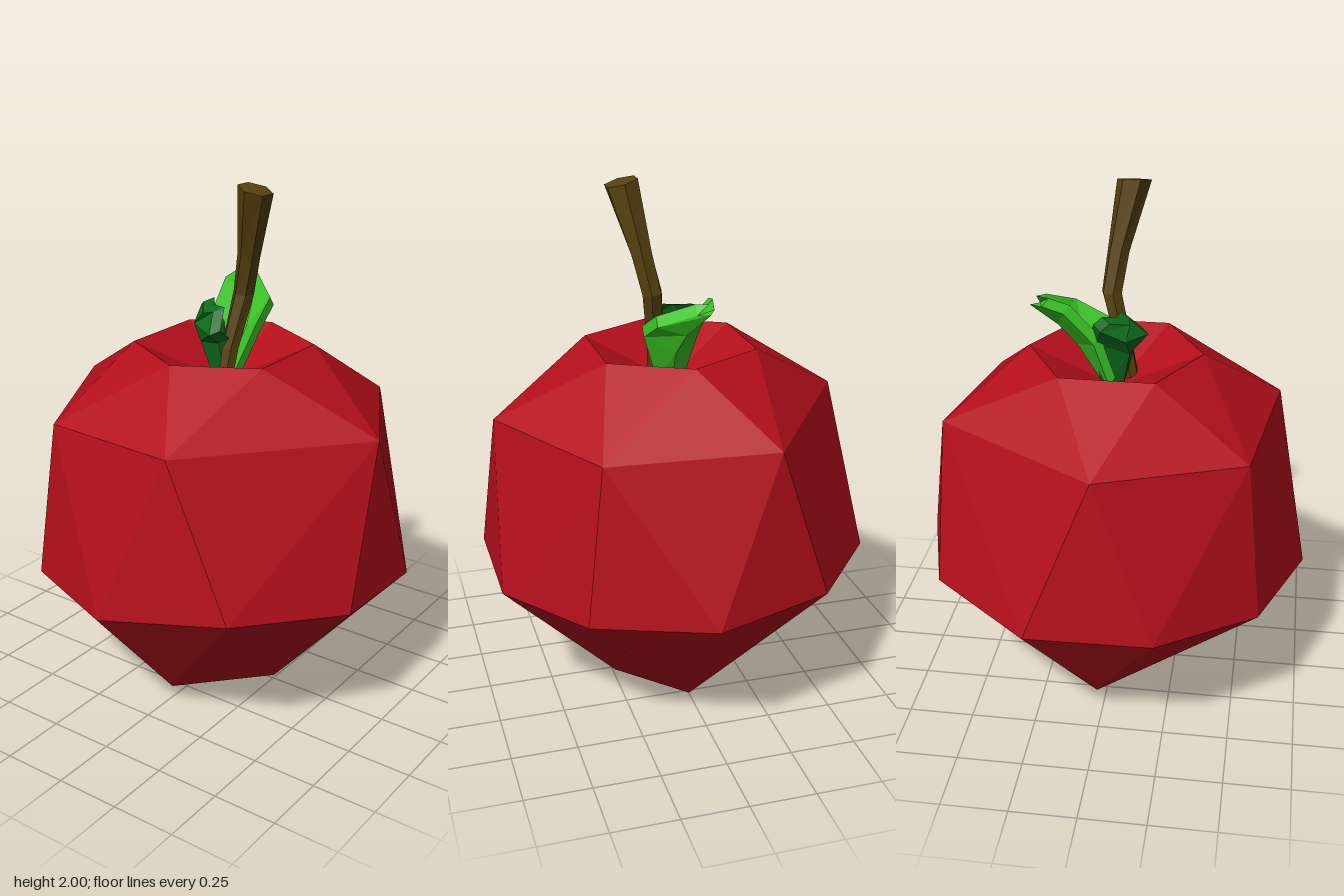
import * as THREE from 'three';
import { ConvexGeometry } from 'three/addons/geometries/ConvexGeometry.js';

const material = (color, side = THREE.FrontSide) => {
  const m = new THREE.MeshStandardMaterial({ color, side });
  m.flatShading = true;
  return m;
};

// Geometry from a flat list of triangle corners
function fromTriangles(corners) {
  const g = new THREE.BufferGeometry();
  g.setAttribute('position', new THREE.Float32BufferAttribute(corners.flat(), 3));
  g.computeVertexNormals();
  return g;
}

// Joins closed rings (counter-clockwise seen from the last one) and caps both ends
function loft(rings) {
  const t = [], n = rings[0].length, last = rings[rings.length - 1];
  for (let i = 0; i < rings.length - 1; i++) {
    for (let j = 0; j < n; j++) {
      const k = (j + 1) % n, a = rings[i], b = rings[i + 1];
      t.push(a[j], a[k], b[k], a[j], b[k], b[j]);
    }
  }
  for (let j = 1; j < n - 1; j++) {
    t.push(last[0], last[j], last[j + 1], rings[0][0], rings[0][j + 1], rings[0][j]);
  }
  return fromTriangles(t);
}

// Faceted body: hull of four rings, with the flat top replaced by a hollow
function fruitBody() {
  const top = 1.38;
  const rim = [[0, top, -0.33], [0.29, top, -0.18], [0.29, top, 0.17],
    [0, top, 0.33], [-0.285, top, 0.18], [-0.285, top, -0.17]];
  const shoulder = [[-0.23, 1.15, -0.62], [0.39, 1.13, -0.53], [0.68, 1.14, 0],
    [0.2, 1.16, 0.62], [-0.39, 1.13, 0.53], [-0.65, 1.16, 0]];
  const belly = [[0.03, 0.55, -0.75], [0.465, 0.55, -0.59], [0.71, 0.53, -0.22],
    [0.715, 0.55, 0.22], [0.45, 0.59, 0.61], [-0.02, 0.53, 0.75], [-0.44, 0.53, 0.59],
    [-0.71, 0.55, 0.23], [-0.72, 0.55, -0.24], [-0.42, 0.57, -0.62]];
  const base = [[0.24, 0, -0.02], [0.02, 0.07, 0.37], [-0.39, 0.09, -0.02], [0.03, 0.07, -0.37]];
  const hull = new ConvexGeometry([...rim, ...shoulder, ...belly, ...base]
    .map((p) => new THREE.Vector3(...p)));
  const p = hull.attributes.position, t = [];
  for (let i = 0; i < p.count; i += 3) {
    const face = [0, 1, 2].map((k) => [p.getX(i + k), p.getY(i + k), p.getZ(i + k)]);
    if (!face.every((v) => v[1] > top - 0.01)) t.push(...face);
  }
  rim.forEach((v, i) => t.push([0, top - 0.15, 0], rim[(i + 1) % 6], v));
  return fromTriangles(t);
}

// Bent six-sided stem, widening toward its tilted end: x, y, z, radius, tilt
function stem() {
  const sections = [
    [0.045, 1.22, 0.06, 0.03, 0],
    [0.05, 1.38, 0.025, 0.035, 0],
    [0.075, 1.58, -0.025, 0.04, 0.1],
    [0.11, 1.73, -0.005, 0.042, 0.2],
    [0.17, 1.983, 0.045, 0.064, 0.25],
  ];
  return loft(sections.map(([x, y, z, r, tilt], s) => Array.from({ length: 6 }, (_, i) => {
    const a = (i / 6) * Math.PI * 2 + s * 0.12;
    return [x + r * Math.cos(a), y - tilt * r * Math.cos(a), z - r * Math.sin(a)];
  })));
}

// Thick cupped leaf: each row is edge, spine, edge; the inner skin is a shifted copy
function leaf(rows, shift) {
  return loft(rows.map((row) => {
    const inner = row.map((p) => p.map((v, i) => v + shift[i]));
    return [...row, ...inner.reverse()];
  }));
}

export function createModel() {
  const model = new THREE.Group();
  model.name = 'fruit';
  const add = (name, geometry, mat) => {
    const mesh = new THREE.Mesh(geometry, mat);
    mesh.name = name;
    model.add(mesh);
  };

  add('fruitBody', fruitBody(), material(0xb30f1b));
  add('stem', stem(), material(0x57420f));

  // Bright leaf curling up toward the back
  add('backLeaf', leaf([
    [[0.06, 1.25, -0.02], [0.01, 1.25, -0.06], [-0.05, 1.25, -0.02]],
    [[0.12, 1.43, -0.07], [0.02, 1.385, -0.15], [-0.09, 1.43, -0.07]],
    [[0.1, 1.5, -0.19], [0, 1.47, -0.22], [-0.1, 1.55, -0.18]],
    [[-0.02, 1.56, -0.28], [-0.06, 1.565, -0.31], [-0.09, 1.57, -0.26]],
  ], [0, 0.035, 0.025]), material(0x3cc926, THREE.DoubleSide));

  // Small dark leaf cupped around the stem
  add('frontLeaf', leaf([
    [[-0.03, 1.24, -0.03], [-0.02, 1.24, 0.03], [0.03, 1.24, 0.03]],
    [[-0.08, 1.43, -0.06], [-0.06, 1.39, 0.06], [0.03, 1.4, 0.07]],
    [[-0.13, 1.5, -0.04], [-0.1, 1.45, 0.05], [0.02, 1.44, 0.12]],
    [[-0.1, 1.52, -0.01], [-0.05, 1.5, 0.06], [-0.01, 1.51, 0.05]],
  ], [0.03, 0.015, -0.03]), material(0x0d6b1d, THREE.DoubleSide));

  return model;
}
